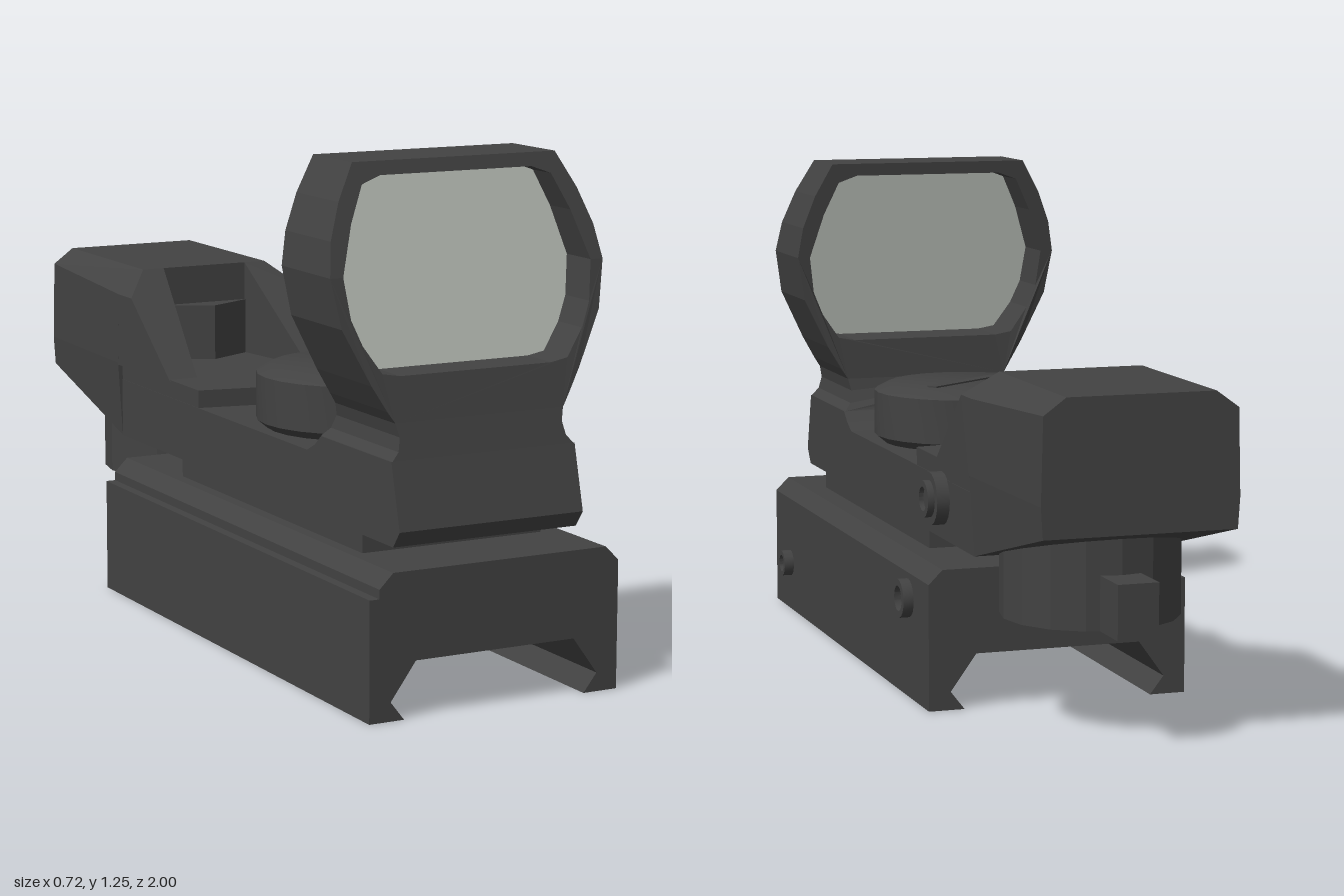
import * as THREE from 'three';
import { toCreasedNormals } from 'three/addons/utils/BufferGeometryUtils.js';
import { ConvexGeometry } from 'three/addons/geometries/ConvexGeometry.js';

const body = new THREE.MeshStandardMaterial({ color: 0x424242 });
body.name = 'charcoal';
const lens = new THREE.MeshStandardMaterial({ color: 0xbfc4bd });
lens.name = 'pale glass';

const shapeOf = (pts) => new THREE.Shape(pts.map(([x, y]) => new THREE.Vector2(x, y)));
const extrude = (shape, depth) => new THREE.ExtrudeGeometry(shape, { depth, bevelEnabled: false });
// Mirrors a half outline (bottom to top on the +x side) into a closed loop
const mirrored = (half) => [...half, ...half.map(([x, y]) => [-x, y]).reverse()];

// Piecewise linear lookup in [input, output] pairs
function lookup(table, v) {
  for (let i = 1; i < table.length; i++) {
    const [a, fa] = table[i - 1], [b, fb] = table[i];
    if (v <= b || i === table.length - 1) return fa + (fb - fa) * (v - a) / (b - a);
  }
}

export function createModel() {
  const model = new THREE.Group();
  const add = (name, geometry, material = body) => {
    const mesh = new THREE.Mesh(geometry, material);
    mesh.name = name;
    model.add(mesh);
    return mesh;
  };
  const box = (name, w, h, d, x, y, z) =>
    add(name, new THREE.BoxGeometry(w, h, d).translate(x, y, z));
  const lathe = (pts, sides) => toCreasedNormals(
    new THREE.LatheGeometry(pts.map(([r, y]) => new THREE.Vector2(r, y)), sides), 0.6);

  // Rail clamp with dovetail channel
  add('railClamp', extrude(shapeOf([
    [-0.33, 0], [-0.24, 0], [-0.275, 0.045], [-0.21, 0.135], [0.21, 0.135], [0.275, 0.045],
    [0.24, 0], [0.33, 0], [0.33, 0.31], [0.295, 0.345], [-0.27, 0.345], [-0.305, 0.31],
    [-0.305, 0.288], [-0.33, 0.288],
  ]), 1.445).translate(0, 0, -0.445));
  box('neck', 0.48, 0.07, 0.965, 0, 0.37, 0.3175);

  // Main body, a side profile in (z, y)
  add('mainBody', extrude(shapeOf([
    [-0.53, 0.39], [0.95, 0.39], [0.98, 0.43], [0.94, 0.585], [0.6, 0.585],
    [0.57, 0.56], [0.53, 0.54], [-0.53, 0.54],
  ]), 0.486).rotateY(-Math.PI / 2).translate(0.243, 0, 0));

  // Raised deck with a pointed front edge
  add('raisedDeck', extrude(shapeOf([
    [-0.242, -0.55], [0.242, -0.55], [0.242, -0.065], [0, -0.02], [-0.242, -0.065],
  ]), 0.06).rotateX(Math.PI / 2).translate(0, 0.585, 0));

  // Lens hood: front outline, then depth shaped by height
  const front = [[0.585, 0.94], [0.7, 0.913], [1, 0.865], [1.25, 0.795]];
  const back = [[0.585, 0.595], [0.62, 0.622], [0.7, 0.64], [0.88, 0.637], [1.25, 0.607]];
  const opening = mirrored([
    [0.2, 0.772], [0.245, 0.78], [0.29, 0.845], [0.315, 0.905], [0.327, 1],
    [0.29, 1.115], [0.25, 1.2], [0.2, 1.218],
  ]);
  const hoodShape = shapeOf(mirrored([
    [0.24, 0.585], [0.222, 0.605], [0.215, 0.637], [0.222, 0.668], [0.24, 0.695],
    [0.275, 0.755], [0.34, 0.885], [0.36, 1], [0.347, 1.08], [0.315, 1.165], [0.268, 1.25],
  ]));
  hoodShape.holes.push(new THREE.Path(opening.map(([x, y]) => new THREE.Vector2(x, y))));
  const hood = extrude(hoodShape, 1);
  const p = hood.attributes.position;
  for (let i = 0; i < p.count; i++) {
    const y = p.getY(i);
    p.setZ(i, p.getZ(i) > 0.5 ? lookup(front, y) : lookup(back, y));
  }
  hood.computeVertexNormals();
  add('lensHood', hood);

  // Tilted thin glass
  const glass = extrude(shapeOf(opening), 0.008);
  const g = glass.attributes.position;
  for (let i = 0; i < g.count; i++) g.setZ(i, g.getZ(i) + 0.79 - 0.16 * (g.getY(i) - 0.77));
  glass.computeVertexNormals();
  add('lensGlass', glass, lens);

  // Top dial with a slot
  add('topDial', lathe([
    [0, 0.535], [0.205, 0.535], [0.235, 0.56], [0.235, 0.675], [0.2, 0.693], [0, 0.693],
  ], 24)).position.z = 0.3;
  const slot = add('dialSlot', new THREE.BoxGeometry(0.28, 0.006, 0.03));
  slot.position.set(0, 0.694, 0.296);
  slot.rotation.y = Math.atan2(0.17, 0.24);

  // Rear emitter housing, tapering to the back
  const housing = [];
  const walls = [];
  for (const s of [-1, 1]) {
    for (const [x, y, z] of [
      [0.243, 0.39, -0.53], [0.255, 0.585, -0.53], [0.25, 0.768, -0.53], [0.18, 0.83, -0.53],
      [0.235, 0.51, -1], [0.24, 0.585, -1], [0.235, 0.79, -1], [0.18, 0.83, -1],
    ]) housing.push(new THREE.Vector3(s * x, y, z));
    // Sloping side wall in front of the housing
    walls.push([
      [0.165, 0.58, -0.23], [0.243, 0.58, -0.23], [0.25, 0.768, -0.453], [0.18, 0.83, -0.53],
      [0.12, 0.83, -0.53], [0.12, 0.58, -0.53], [0.255, 0.58, -0.53], [0.25, 0.768, -0.53],
    ].map(([x, y, z]) => new THREE.Vector3(s * x, y, z)));
  }
  add('rearHousing', new ConvexGeometry(housing));
  walls.forEach((pts, i) => add(i ? 'leftSideWall' : 'rightSideWall', new ConvexGeometry(pts)));

  // Emitter block between the walls
  add('emitter', extrude(shapeOf([
    [-0.125, -0.56], [0.125, -0.56], [0.12, -0.525], [0, -0.465], [-0.12, -0.525],
  ]), 0.15).rotateX(Math.PI / 2).translate(0, 0.73, 0));

  // Knob and tab under the housing
  add('lowerKnob', new THREE.CylinderGeometry(0.215, 0.215, 0.225, 16).toNonIndexed()
    .translate(0, 0.3775, -0.665));
  model.children.at(-1).geometry.computeVertexNormals();
  box('knobTab', 0.1, 0.13, 0.16, 0, 0.33, -0.905);

  // Side screws facing +x
  const screw = (name, r, h, x, y, z) => add(name, lathe([
    [0, 0], [r, 0], [r, h], [r * 0.65, h], [r * 0.65, h * 0.4], [0, h * 0.4],
  ], 20).rotateZ(-Math.PI / 2).translate(x, y, z));
  add('upperScrewFlange', new THREE.CylinderGeometry(0.066, 0.066, 0.045, 20)
    .rotateZ(Math.PI / 2).translate(0.2525, 0.49, -0.275));
  screw('upperScrew', 0.046, 0.02, 0.272, 0.49, -0.275);
  screw('clampScrew', 0.048, 0.028, 0.328, 0.247, -0.275);
  screw('clampPin', 0.035, 0.028, 0.328, 0.13, 0.85);

  return model;
}
